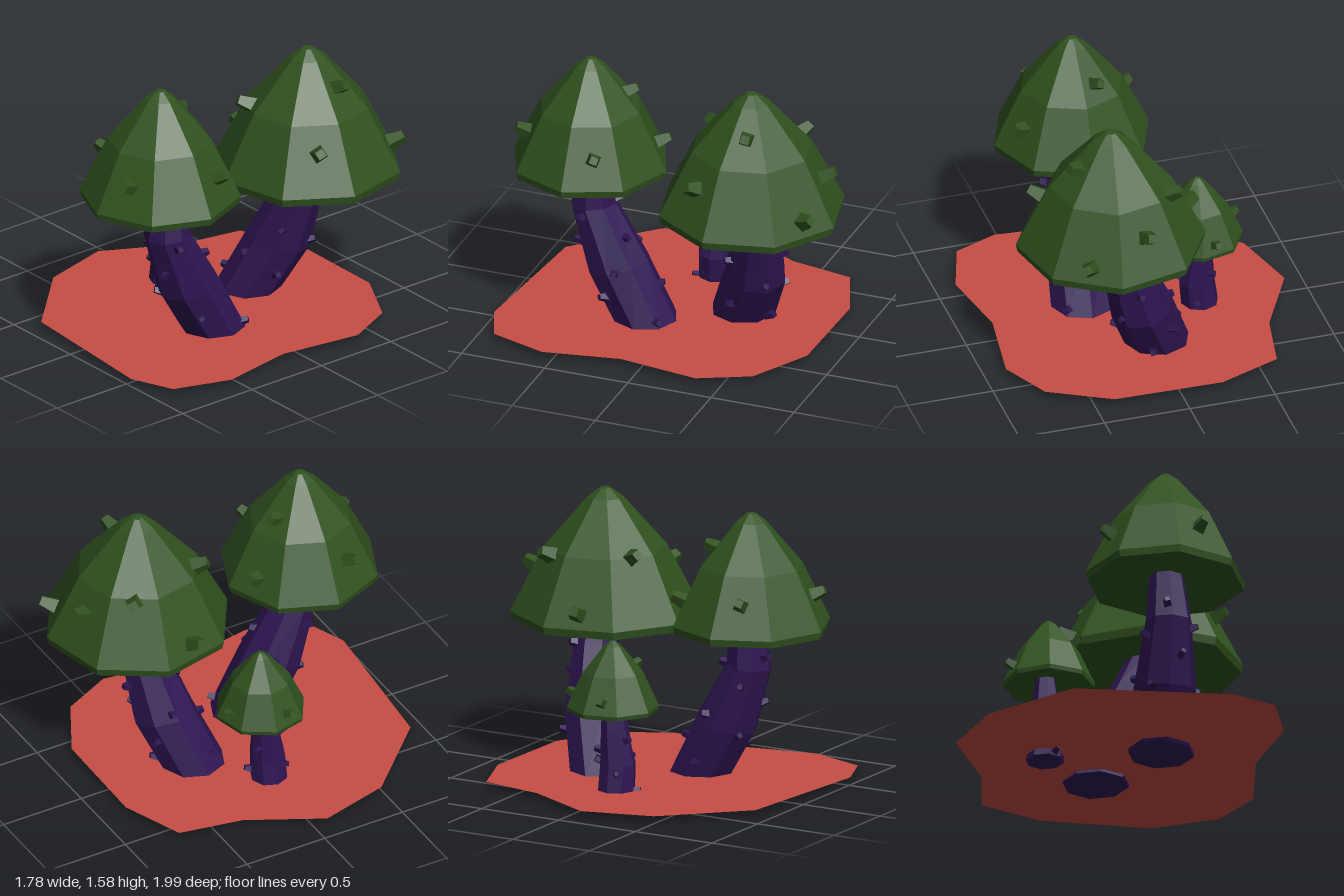
import * as THREE from 'three';

const paint = (color) => new THREE.MeshStandardMaterial({ color, flatShading: true, side: THREE.DoubleSide });
const green = paint(0x30521f), purple = paint(0x2e1552), red = paint(0xc84e44);
const GOLDEN_ANGLE = Math.PI * (3 - Math.sqrt(5));

function add(parent, name, geometry, material) {
  const mesh = new THREE.Mesh(geometry, material);
  mesh.name = name;
  parent.add(mesh);
  return mesh;
}

// Blunt four-sided thorn centred on a point and pointing along dir
function addThorn(parent, name, pos, dir, size, material) {
  const g = new THREE.CylinderGeometry(size * 0.42, size * 0.75, size * 1.5, 4);
  g.rotateY(Math.PI / 4);
  const mesh = add(parent, name, g, material);
  mesh.position.copy(pos);
  mesh.quaternion.setFromUnitVectors(new THREE.Vector3(0, 1, 0), dir.normalize());
}

// Cap outline shared by all mushrooms: radius and height as fractions
const capOutline = [[0.98, 0], [1, 0.06], [0.65, 0.55], [0.19, 0.925], [0.06, 0.995], [0, 1]];

// Height fraction of the cap's outer surface at a radius fraction
function capHeight(f) {
  const i = capOutline.findIndex(([r], k) => k > 1 && r <= f);
  const [r0, h0] = capOutline[i - 1], [r1, h1] = capOutline[i];
  return THREE.MathUtils.mapLinear(f, r0, r1, h0, h1);
}

// Eight-sided cap with a hollow underside, thorns given as x, z
function addCap(parent, { x, z, radius, bottom, top, turn, thorns }) {
  const height = top - bottom;
  const profile = [[0, 0.12], ...capOutline].map(([r, h]) => new THREE.Vector2(r * radius, bottom + h * height));
  const g = new THREE.LatheGeometry(profile, 8, THREE.MathUtils.degToRad(turn));
  g.translate(x, 0, z);
  add(parent, 'cap', g, green);

  const size = 0.025 + radius * 0.105;
  for (const [tx, tz] of thorns) {
    const dx = tx - x, dz = tz - z, r = Math.hypot(dx, dz);
    const y = bottom + height * capHeight(r / radius);
    addThorn(parent, 'capThorn', new THREE.Vector3(tx, y, tz), new THREE.Vector3(dx, r * 0.45, dz), size, green);
  }
}

// Bent eight-sided stem through four centres, tapering upwards
const stemTaper = [1, 0.95, 0.7, 0.52];

function addStem(parent, { path, radius, thornCount, spin }) {
  const last = path.length - 1;
  const g = new THREE.CylinderGeometry(1, 1, 1, 8, last);
  const p = g.attributes.position;
  for (let i = 0; i < p.count; i++) {
    const k = Math.round((p.getY(i) + 0.5) * last);
    const [x, y, z] = path[k];
    const ox = p.getX(i) * radius * stemTaper[k], oz = p.getZ(i) * radius * stemTaper[k];
    // inner rings lean half as much as the path does
    let drop = 0;
    if (k > 0 && k < last) {
      const [ax, ay, az] = path[k - 1], [bx, by, bz] = path[k + 1];
      drop = 0.5 * (ox * (bx - ax) + oz * (bz - az)) / (by - ay);
    }
    p.setXYZ(i, x + ox, y - drop, z + oz);
  }
  add(parent, 'stem', g, purple);

  // thorns spiral up the visible part of the stem
  const size = 0.035 + radius * 0.06;
  for (let i = 0; i < thornCount; i++) {
    const t = last * (0.06 + 0.74 * i / thornCount), k = Math.floor(t);
    const [x, y, z] = path[k].map((v, axis) => THREE.MathUtils.lerp(v, path[k + 1][axis], t - k));
    const r = radius * THREE.MathUtils.lerp(stemTaper[k], stemTaper[k + 1], t - k);
    const s = Math.sin(spin + i * GOLDEN_ANGLE), c = Math.cos(spin + i * GOLDEN_ANGLE);
    addThorn(parent, 'stemThorn', new THREE.Vector3(x + s * r, y, z + c * r), new THREE.Vector3(s, 0.25, c), size, purple);
  }
}

function addMushroom(model, name, stem, cap) {
  const group = new THREE.Group();
  group.name = name;
  addStem(group, stem);
  addCap(group, cap);
  model.add(group);
}

export function createModel() {
  const model = new THREE.Group();
  model.name = 'mushroomPatch';

  // Irregular patch of ground
  const corners = [[-0.6, -0.71], [-0.24, -0.85], [0.39, -0.84], [0.74, -0.65], [0.88, -0.36], [0.81, 0.12],
    [0.89, 0.56], [0.78, 0.89], [0.53, 0.99], [-0.37, 0.91], [-0.78, 0.49], [-0.89, 0.08], [-0.67, -0.34]];
  const ground = new THREE.ShapeGeometry(new THREE.Shape(corners.map(([x, z]) => new THREE.Vector2(x, -z))));
  ground.rotateX(-Math.PI / 2);
  ground.translate(0, 0.035, 0);
  add(model, 'ground', ground, red);

  addMushroom(model, 'frontMushroom', {
    path: [[0.26, 0.015, 0.175], [0.25, 0.335, 0.35], [0.245, 0.685, 0.5], [0.235, 0.96, 0.49]],
    radius: 0.187, thornCount: 13, spin: 2.4,
  }, {
    x: 0.22, z: 0.53, radius: 0.455, bottom: 0.9, top: 1.575, turn: 0,
    thorns: [[0.07, 0.16], [0.14, 0.33], [0.56, 0.38], [-0.12, 0.66], [0.36, 0.87]],
  });

  addMushroom(model, 'backMushroom', {
    path: [[-0.03, 0.015, -0.29], [0.1, 0.335, -0.415], [0.22, 0.69, -0.48], [0.28, 0.9, -0.49]],
    radius: 0.187, thornCount: 13, spin: 2.8,
  }, {
    x: 0.3, z: -0.47, radius: 0.537, bottom: 0.82, top: 1.575, turn: 35.4,
    thorns: [[0.21, -0.88], [0.55, -0.89], [0, -0.66], [-0.18, -0.37], [0.51, -0.52], [0.12, -0.18], [0.66, -0.26]],
  });

  addMushroom(model, 'smallMushroom', {
    path: [[-0.37, 0, 0], [-0.35, 0.18, 0], [-0.36, 0.37, -0.02], [-0.36, 0.52, -0.035]],
    radius: 0.108, thornCount: 7, spin: 0.4,
  }, {
    x: -0.34, z: -0.04, radius: 0.26, bottom: 0.48, top: 0.885, turn: -9,
    thorns: [[-0.38, -0.27], [-0.56, 0.015], [-0.21, 0.03]],
  });

  return model;
}
